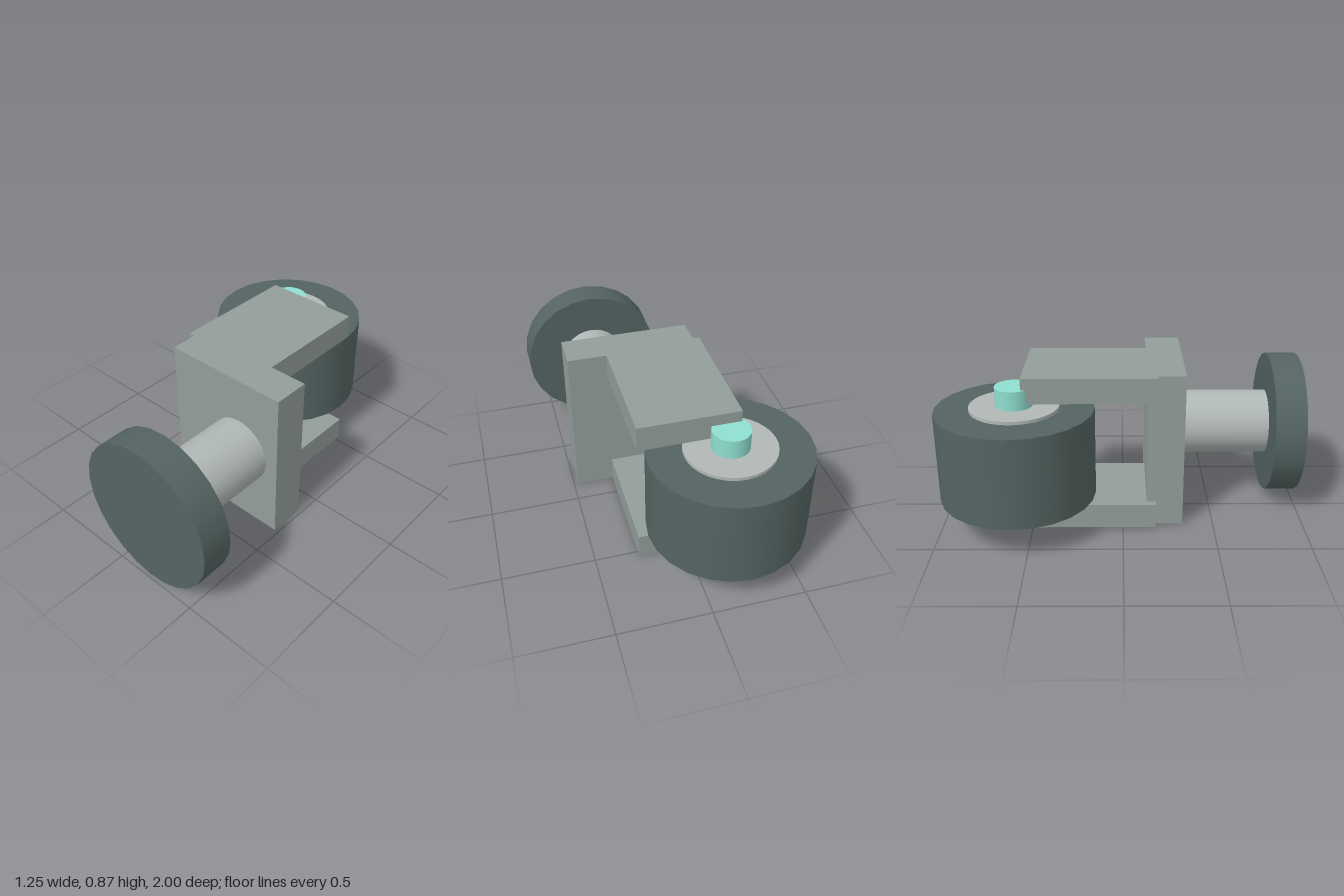
import * as THREE from 'three';

const DARK = 0x546462, BODY = 0x929d99, METAL = 0xb0b8b5, ACCENT = 0x8edfd0;

export function createModel() {
  const root = new THREE.Group();
  root.name = 'casterWheel';

  function add(name, geometry, color) {
    const mesh = new THREE.Mesh(geometry, new THREE.MeshStandardMaterial({ color }));
    mesh.name = name;
    root.add(mesh);
    return mesh;
  }

  // Box given by its minimum and maximum corners
  function box(name, min, max, color) {
    const s = max.map((v, i) => v - min[i]);
    add(name, new THREE.BoxGeometry(...s), color)
      .position.set(...min.map((v, i) => v + s[i] / 2));
  }

  // Upright cylinder on the wheel axis, from y0 to y1
  function upright(name, r, y0, y1, sides, color) {
    add(name, new THREE.CylinderGeometry(r, r, y1 - y0, sides), color)
      .position.set(-0.2, (y0 + y1) / 2, -0.575);
  }

  // Cylinder on the mounting axis, from z0 to z1
  function forward(name, r, z0, z1, sides, color) {
    const geometry = new THREE.CylinderGeometry(r, r, z1 - z0, sides).rotateX(Math.PI / 2);
    add(name, geometry, color).position.set(0.222, 0.436, (z0 + z1) / 2);
  }

  // Fork: back plate and two arms
  box('forkPlate', [-0.233, 0, 0.13], [0.477, 0.87, 0.33], BODY);
  box('lowerArm', [-0.27, 0, -0.53], [0.265, 0.14, 0.18], BODY);
  box('upperArm', [-0.27, 0.732, -0.53], [0.265, 0.87, 0.18], BODY);

  // Wheel with hub and axle
  upright('wheel', 0.425, 0.19, 0.685, 24, DARK);
  upright('hub', 0.24, 0.17, 0.703, 32, METAL);
  upright('axle', 0.1, 0.065, 0.808, 24, ACCENT);

  // Mounting stem and end disc
  forward('stem', 0.184, 0.3, 0.84, 32, METAL);
  forward('mountDisc', 0.402, 0.83, 1, 24, DARK);

  return root;
}
